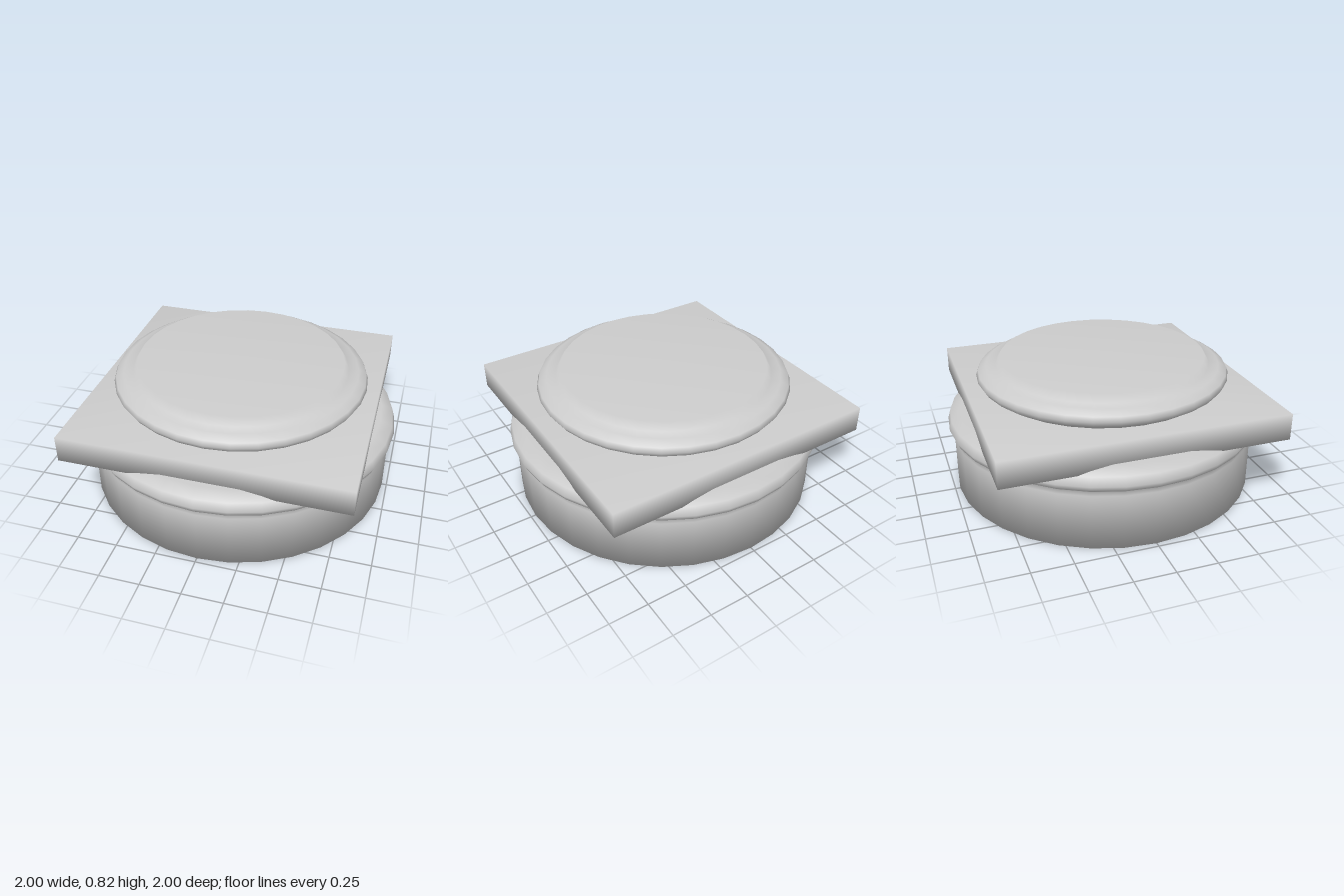
import * as THREE from 'three';
import { mergeVertices } from 'three/addons/utils/BufferGeometryUtils.js';

const stone = new THREE.MeshStandardMaterial({ color: 0xcccccc });
stone.name = 'pale grey stone';

// Closed round part with normals blended over its whole profile
function turned(name, profile) {
  const points = profile.map(([r, y]) => new THREE.Vector2(r, y));
  const mesh = new THREE.Mesh(new THREE.LatheGeometry(points, 32), stone);
  mesh.name = name;
  return mesh;
}

// Square slab whose corners share one normal, for soft shading
function softSlab(name, width, bottom, top) {
  const box = new THREE.BoxGeometry(width, top - bottom, width);
  box.deleteAttribute('normal');
  box.deleteAttribute('uv');
  const geometry = mergeVertices(box);
  geometry.computeVertexNormals();
  const mesh = new THREE.Mesh(geometry, stone);
  mesh.name = name;
  mesh.position.y = (bottom + top) / 2;
  return mesh;
}

export function createModel() {
  const model = new THREE.Group();
  model.name = 'columnBase';

  // Drum with a rounded moulding around its top
  model.add(turned('drum', [
    [0, 0], [0.97, 0], [0.97, 0.345], [0.945, 0.358], [0.985, 0.385],
    [1, 0.42], [0.984, 0.475], [0.91, 0.51], [0, 0.51],
  ]));

  // Square plinth
  model.add(softSlab('plinth', 1.75, 0.475, 0.64));

  // Rounded ring with a narrow step on top
  model.add(turned('upperMoulding', [
    [0, 0.635], [0.72, 0.635], [0.78, 0.675], [0.802, 0.71], [0.79, 0.74],
    [0.74, 0.768], [0.68, 0.772], [0.65, 0.82], [0, 0.82],
  ]));

  return model;
}
